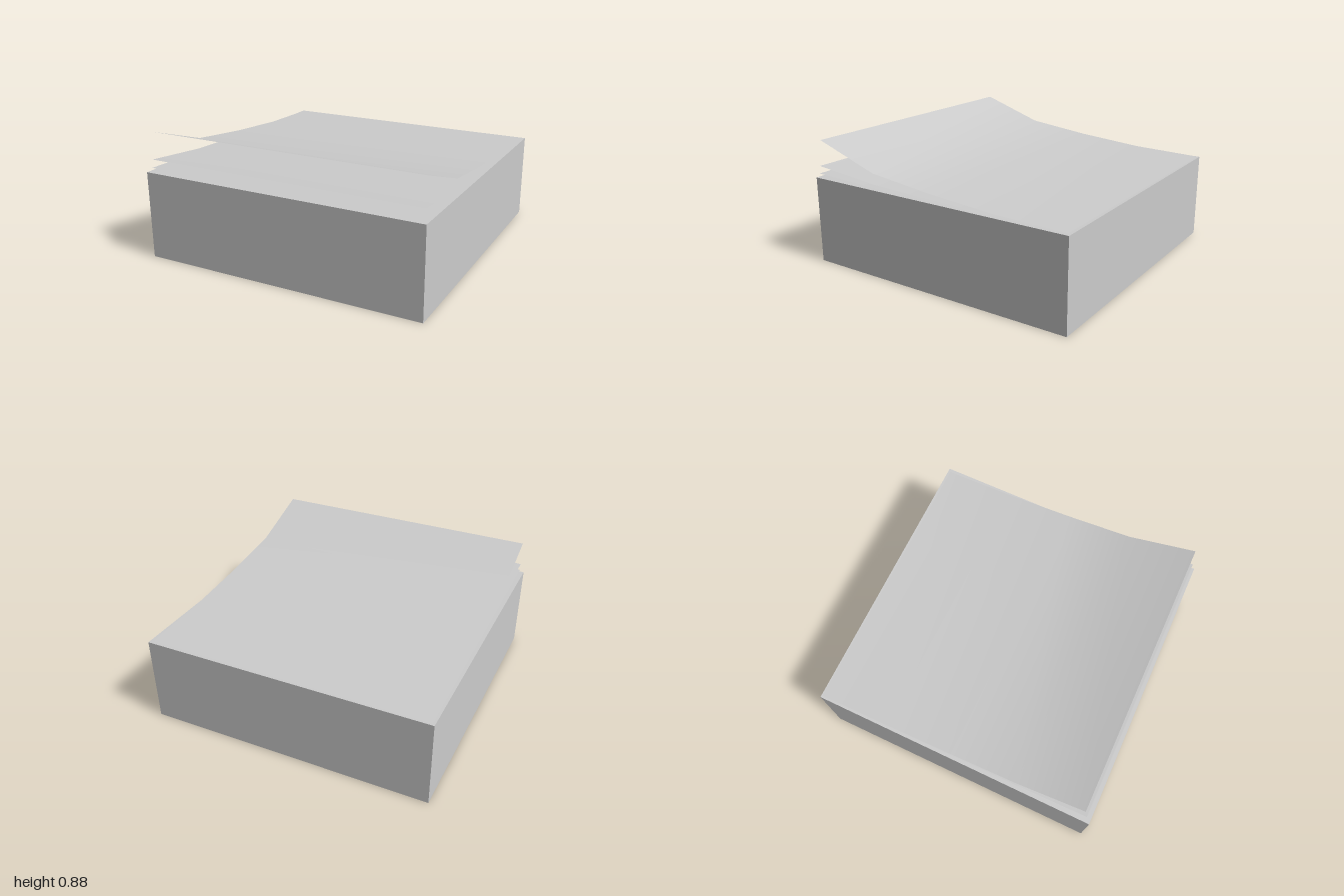
import * as THREE from 'three';

const paper = new THREE.MeshStandardMaterial({ color: 0xcccccc, side: THREE.DoubleSide });
paper.name = 'paper';

// Sheet glued along the back edge; profile is [z, y] from back to front.
function makeSheet(name, profile) {
  const geo = new THREE.PlaneGeometry(1.95, 1, 1, profile.length - 1);
  geo.rotateX(-Math.PI / 2);
  const pos = geo.attributes.position;
  for (let i = 0; i < pos.count; i++) {
    const [z, y] = profile[Math.floor(i / 2)];
    pos.setY(i, y);
    pos.setZ(i, z);
  }
  geo.computeVertexNormals();
  const mesh = new THREE.Mesh(geo, paper);
  mesh.name = name;
  return mesh;
}

export function createModel() {
  const group = new THREE.Group();
  group.name = 'notePad';

  // Solid stack of paper, very slightly out of square
  const stack = new THREE.BoxGeometry(1.99, 0.61, 1.99);
  stack.translate(0, 0.305, 0);
  const pos = stack.attributes.position;
  for (let i = 0; i < pos.count; i++) {
    const x = pos.getX(i), z = pos.getZ(i);
    pos.setX(i, x - 0.005 * z);
    pos.setZ(i, z - 0.005 * x);
  }
  stack.computeVertexNormals();
  const block = new THREE.Mesh(stack, paper);
  block.name = 'paperBlock';
  group.add(block);

  // Loose sheets curling up towards the front
  group.add(
    makeSheet('lowerSheet', [[-0.98, 0.611], [-0.48, 0.612], [0, 0.616], [0.49, 0.622], [0.975, 0.637]]),
    makeSheet('middleSheet', [[-0.98, 0.612], [-0.48, 0.615], [0, 0.626], [0.49, 0.645], [0.965, 0.692]]),
    makeSheet('topSheet', [[-0.98, 0.613], [-0.48, 0.626], [0, 0.664], [0.47, 0.718], [0.94, 0.876]]),
  );
  return group;
}
